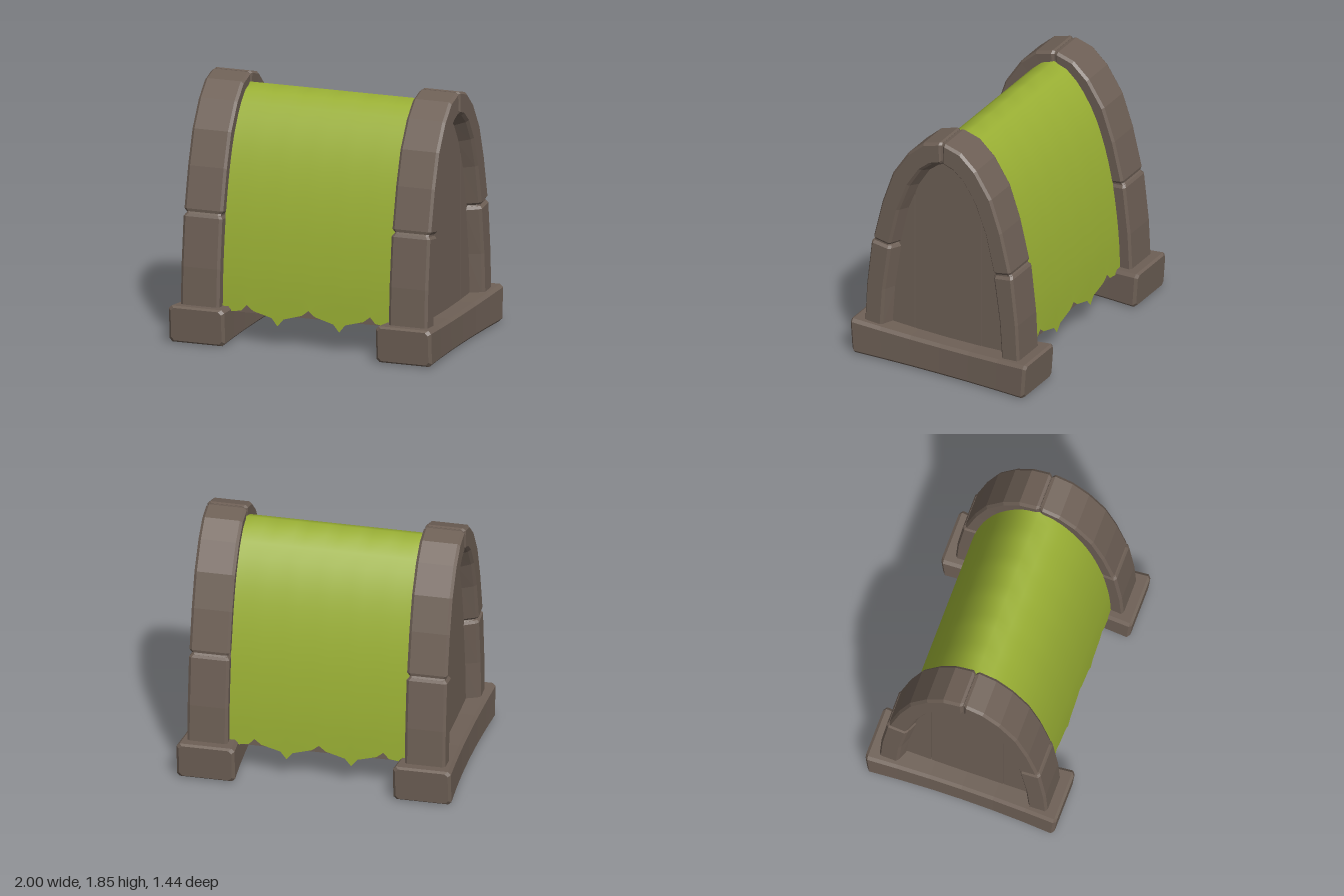
import * as THREE from 'three';

const wood = new THREE.MeshStandardMaterial({ color: 0x6e6056 });
wood.name = 'weathered brown';
const fabric = new THREE.MeshStandardMaterial({ color: 0x9ab034, side: THREE.DoubleSide });
fabric.name = 'leaf green';

function add(parent, name, geometry, material) {
  const mesh = new THREE.Mesh(geometry, material);
  mesh.name = name;
  parent.add(mesh);
  return mesh;
}

// Closed, flat-shaded solid through rings of [x, y, z] points
function loft(rings) {
  const n = rings[0].length, tris = [];
  for (let i = 0; i < rings.length - 1; i++) {
    for (let j = 0; j < n; j++) {
      const k = (j + 1) % n, a = rings[i], b = rings[i + 1];
      tris.push([a[j], a[k], b[k]], [a[j], b[k], b[j]]);
    }
  }
  const first = rings[0], last = rings[rings.length - 1];
  for (let j = 1; j < n - 1; j++) {
    tris.push([first[0], first[j + 1], first[j]], [last[0], last[j], last[j + 1]]);
  }
  // Turn all faces outward, so mirrored blocks need no special care
  const centre = new THREE.Vector3();
  rings.flat().forEach(p => centre.add(new THREE.Vector3(...p)));
  centre.divideScalar(rings.length * n);
  let volume = 0;
  for (const t of tris) {
    const [a, b, c] = t.map(p => new THREE.Vector3(...p).sub(centre));
    volume += a.dot(b.cross(c));
  }
  if (volume < 0) tris.forEach(t => t.reverse());
  const geometry = new THREE.BufferGeometry();
  geometry.setAttribute('position', new THREE.Float32BufferAttribute(tris.flat(2), 3));
  geometry.computeVertexNormals();
  return geometry;
}

// Arch section: [0 = outer edge .. 1 = inner edge, x]; the soffit tapers inward
const archSection = [[0.1, 0.94], [0.88, 0.94], [1, 0.92], [1.25, 0.83],
  [1.25, 0.66], [0.1, 0.645], [0, 0.665], [0, 0.92]];

// Stations along the arch: [outer z, outer y, inner z, inner y]
const lowerPath = [[0.635, 0.24, 0.49, 0.24], [0.62, 0.55, 0.47, 0.55], [0.578, 0.93, 0.42, 0.906]];
const upperPath = [[0.566, 0.943, 0.425, 0.918], [0.49, 1.26, 0.355, 1.22], [0.405, 1.51, 0.27, 1.44],
  [0.278, 1.705, 0.175, 1.59], [0.154, 1.817, 0.09, 1.66], [0.005, 1.86, 0.005, 1.69]];
const corePath = [...lowerPath, ...upperPath, [0, 1.86, 0, 1.69]];

function archBlock(path, sx, sz, scale = 1) {
  const ring = (s, shrink) => archSection.map(([t, x]) => {
    const u = 0.55 + (t - 0.55) * shrink * scale, w = 0.79 + (x - 0.79) * shrink * scale;
    return [sx * w, s[1] + (s[3] - s[1]) * u, sz * (s[0] + (s[2] - s[0]) * u)];
  });
  // Step in slightly from each end to bevel it
  const inset = (a, b) => {
    const f = Math.min(0.5, 0.02 / Math.hypot(b[0] - a[0], b[1] - a[1]));
    return a.map((v, i) => v + (b[i] - v) * f);
  };
  const n = path.length;
  return loft([
    ring(path[0], 0.9), ring(inset(path[0], path[1]), 1),
    ...path.slice(1, -1).map(s => ring(s, 1)),
    ring(inset(path[n - 1], path[n - 2]), 1), ring(path[n - 1], 0.9),
  ]);
}

// Bowed, chamfered sill under each arch
function sill(sx) {
  const ring = (z, shrink) => {
    const bow = 1 - (z / 0.72) ** 2, cx = 0.788;
    const hw = (0.213 - 0.03 * bow) * shrink;
    const top = 0.28 - 0.03 * bow - (1 - shrink) * 0.14;
    const bottom = 0.01 - 0.006 * bow + (1 - shrink) * 0.14, c = 0.022;
    return [[-hw + c, bottom], [hw - c, bottom], [hw, bottom + c], [hw, top - c],
      [hw - c, top], [-hw + c, top], [-hw, top - c], [-hw, bottom + c]]
      .map(([x, y]) => [sx * (cx + x), y, z * (0.975 + 0.1 * y)]);
  };
  return loft([ring(-0.72, 0.9), ring(-0.7, 1), ring(-0.48, 1), ring(-0.24, 1), ring(0, 1),
    ring(0.24, 1), ring(0.48, 1), ring(0.7, 1), ring(0.72, 0.9)]);
}

// Half profile of the covered shell: [z, y]
const half = [[0.54, 0.23], [0.535, 0.42], [0.52, 0.62], [0.478, 0.93], [0.41, 1.22],
  [0.32, 1.46], [0.205, 1.645], [0.1, 1.745]];
const shellCurve = new THREE.CatmullRomCurve3([
  ...half.map(([z, y]) => new THREE.Vector3(0, y, -z)),
  new THREE.Vector3(0, 1.78, 0),
  ...half.slice().reverse().map(([z, y]) => new THREE.Vector3(0, y, z)),
]);
const shell = shellCurve.getSpacedPoints(32);

// Tattered hem: [x, y], mirrored about the middle
const hem = [[-0.655, 0.235], [-0.58, 0.235], [-0.51, 0.245], [-0.47, 0.29], [-0.42, 0.25],
  [-0.28, 0.212], [-0.235, 0.155], [-0.19, 0.21], [-0.05, 0.25]];
const hemLine = [...hem, [0, 0.29], ...hem.slice().reverse().map(([x, y]) => [-x, y])];

function cover() {
  const cols = hemLine.length, rows = shell.length;
  const geometry = new THREE.PlaneGeometry(1, 1, cols - 1, rows - 1);
  const pos = geometry.attributes.position;
  for (let i = 0; i < pos.count; i++) {
    const [x, hemY] = hemLine[i % cols], row = Math.floor(i / cols), p = shell[row];
    const atHem = row === 0 || row === rows - 1;
    pos.setXYZ(i, x, atHem ? hemY : p.y, p.z);
  }
  geometry.computeVertexNormals();
  return geometry;
}

// Extrudes a (z, y) outline along x, from x0 to x1
function extrudeX(points, x0, x1) {
  const shape = new THREE.Shape(points.map(([z, y]) => new THREE.Vector2(-z, y)));
  const geometry = new THREE.ExtrudeGeometry(shape, { depth: x1 - x0, bevelEnabled: false });
  return geometry.translate(0, 0, x0).rotateY(Math.PI / 2);
}

const inner = shell.map(p => [p.z * 0.965, 0.23 + (p.y - 0.23) * 0.985]);

// Height of the inner shell above a given z
function roofY(z) {
  const i = Math.max(1, inner.findIndex(p => p[0] >= z));
  const [a, b] = [inner[i - 1], inner[i]];
  return a[1] + (b[1] - a[1]) * (z - a[0]) / (b[0] - a[0]);
}

// Upright plank between two z positions, cut to the arch
function plank(z0, z1, x0, x1) {
  const points = [[z0, 0.23]];
  for (let i = 0; i <= 12; i++) {
    const z = z0 + (z1 - z0) * i / 12;
    points.push([z, roofY(z)]);
  }
  points.push([z1, 0.23]);
  return extrudeX(points, x0, x1);
}

export function createModel() {
  const model = new THREE.Group();
  model.name = 'coveredArchShelter';

  add(model, 'innerBody', extrudeX(inner, -0.82, 0.82), wood);
  add(model, 'clothCover', cover(), fabric);

  for (const sx of [1, -1]) {
    const end = new THREE.Group();
    end.name = sx > 0 ? 'leftEnd' : 'rightEnd';
    model.add(end);
    add(end, 'sill', sill(sx), wood);
    // End wall of three planks with narrow gaps
    for (const [z0, z1] of [[-0.5, -0.276], [-0.27, 0.27], [0.276, 0.5]]) {
      add(end, 'wallPlank', plank(z0, z1, sx > 0 ? 0.81 : -0.84, sx > 0 ? 0.84 : -0.81), wood);
    }
    for (const sz of [1, -1]) {
      add(end, 'lowerArchBlock', archBlock(lowerPath, sx, sz), wood);
      add(end, 'upperArchBlock', archBlock(upperPath, sx, sz), wood);
      // Slightly smaller core closes the joints between the blocks
      add(end, 'archCore', archBlock(corePath, sx, sz, 0.88), wood);
    }
  }
  return model;
}
